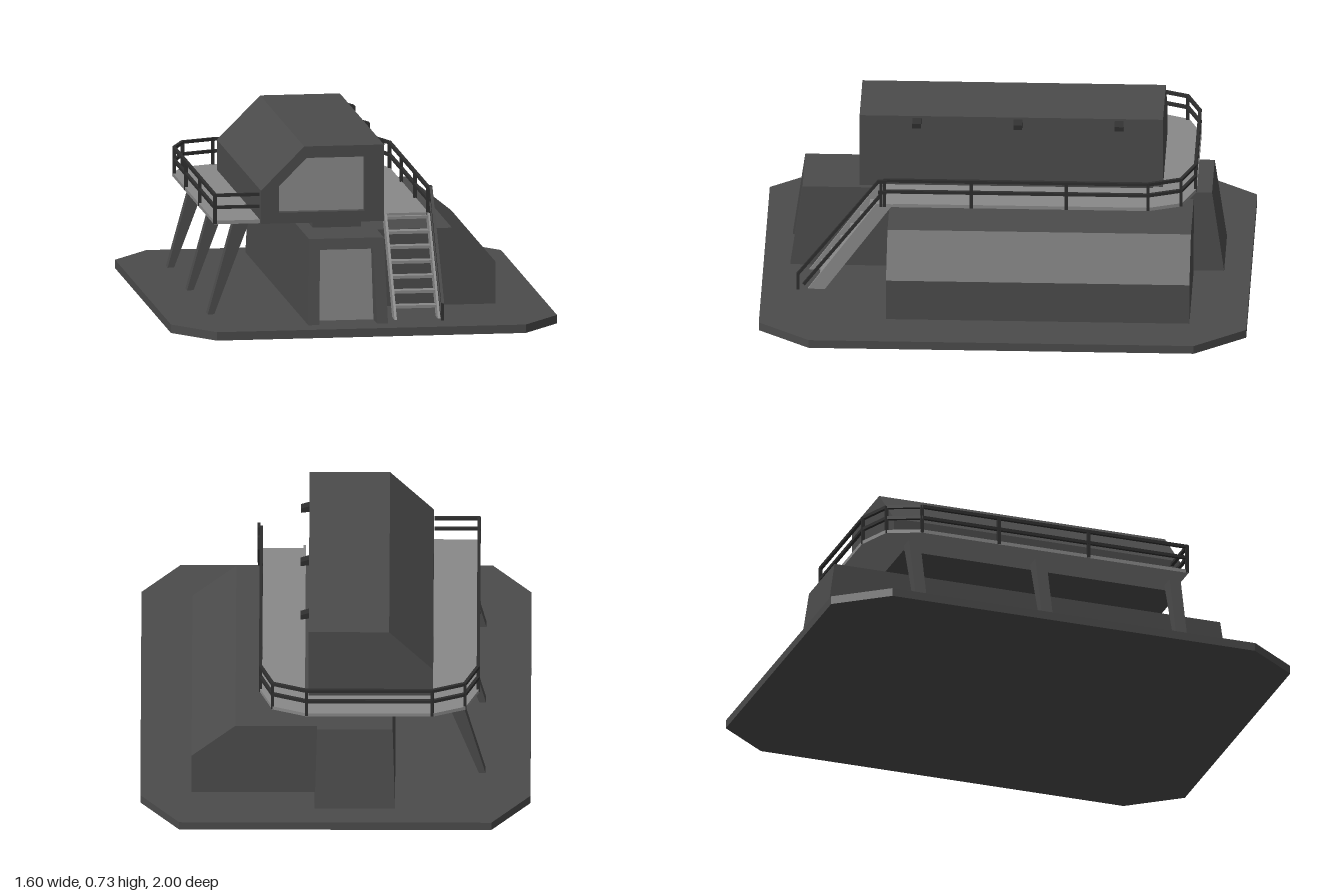
import * as THREE from 'three';

const mat = (name, color) => {
  const m = new THREE.MeshStandardMaterial({ color });
  m.name = name;
  return m;
};

export function createModel() {
  const wall = mat('wall grey', 0x4b4b4b);
  const light = mat('light grey', 0x898989);
  const dark = mat('dark metal', 0x2e2e2e);
  const root = new THREE.Group();
  root.name = 'outpost';

  const add = (name, geometry, material, parent = root) => {
    const mesh = new THREE.Mesh(geometry, material);
    mesh.name = name;
    parent.add(mesh);
    return mesh;
  };
  const group = (name) => {
    const g = new THREE.Group();
    g.name = name;
    root.add(g);
    return g;
  };
  const points = (list) => list.map(([x, y]) => new THREE.Vector2(x, y));
  // (x, y) profile extruded from z0 to z1, with an optional hole
  const alongZ = (list, z0, z1, hole) => {
    const shape = new THREE.Shape(points(list));
    if (hole) shape.holes.push(new THREE.Path(points(hole)));
    return new THREE.ExtrudeGeometry(shape, { depth: z1 - z0, bevelEnabled: false }).translate(0, 0, z0);
  };
  // (x, z) plan extruded from y0 up to y1
  const plan = (list, y0, y1) => alongZ(list, 0, y1 - y0).rotateX(Math.PI / 2).translate(0, y1, 0);
  // (z, y) profile extruded from x0 to x1
  const alongX = (list, x0, x1) => alongZ(list, 0, x1 - x0).rotateY(-Math.PI / 2).translate(x1, 0, 0);
  const box = (x0, x1, y0, y1, z0, z1) =>
    new THREE.BoxGeometry(x1 - x0, y1 - y0, z1 - z0).translate((x0 + x1) / 2, (y0 + y1) / 2, (z0 + z1) / 2);
  // square bar between two points
  const bar = (name, a, b, size, parent) => {
    const p = new THREE.Vector3(...a), q = new THREE.Vector3(...b);
    const mesh = add(name, new THREE.BoxGeometry(size, size, p.distanceTo(q) + size * 0.5), dark, parent);
    mesh.position.copy(p).lerp(q, 0.5);
    mesh.lookAt(q);
  };

  // Base slab with clipped corners
  const floor = 0.035;
  add('baseSlab', plan([[-0.8, -0.79], [-0.64, -1], [0.64, -1], [0.8, -0.79],
    [0.8, 0.79], [0.64, 1], [-0.64, 1], [-0.8, 0.79]], 0, floor), wall);

  // Lower block: ends lean inward, doorway set into the front
  const slope = (geometry) => {
    const pos = geometry.attributes.position;
    for (let i = 0; i < pos.count; i++) {
      const end = 0.89 - 0.05 * (pos.getY(i) - floor) / 0.35;
      if (Math.abs(pos.getZ(i)) > 0.85) pos.setZ(i, Math.sign(pos.getZ(i)) * end);
    }
    geometry.computeVertexNormals();
    return geometry;
  };
  const lower = group('lowerBlock');
  add('lowerBody', slope(alongZ([[-0.245, floor], [0.085, floor], [0.075, 0.385], [-0.235, 0.385]], -0.9, 0.78)), wall, lower);
  add('doorFrame', slope(alongZ([[-0.245, floor], [-0.2, floor], [-0.19, 0.34], [0.03, 0.34], [0.04, floor],
    [0.085, floor], [0.075, 0.385], [-0.235, 0.385]], 0.78, 0.9)), wall, lower);
  add('door', alongZ([[-0.2, floor], [0.04, floor], [0.03, 0.34], [-0.19, 0.34]], 0.78, 0.785), light, lower);
  add('neck', box(-0.18, 0.02, 0.38, 0.415, -0.6, 0.57), wall);

  // Side shed with a sloping roof edge
  add('sideShed', alongZ([[0.07, floor], [0.59, floor], [0.59, 0.21], [0.41, 0.355], [0.07, 0.355]], -0.765, 0.48), wall);

  // Upper cabin with a recessed front window
  const cabin = group('upperCabin');
  const section = [[-0.4, 0.412], [0.11, 0.412], [0.11, 0.73], [-0.22, 0.73], [-0.4, 0.55]];
  const pane = [[-0.325, 0.457], [0.03, 0.457], [0.03, 0.682], [-0.21, 0.682], [-0.325, 0.567]];
  add('cabinBody', alongZ(section, -0.64, 0.565), wall, cabin);
  add('windowFrame', alongZ(section, 0.565, 0.605, pane), wall, cabin);
  add('window', alongZ(pane, 0.565, 0.57), light, cabin);

  // Lamps along the cabin's tall wall
  for (const z of [-0.46, -0.045, 0.37])
    add('lamp', alongZ([[0.108, 0.695], [0.145, 0.69], [0.145, 0.71], [0.108, 0.722]], z - 0.018, z + 0.018), dark, cabin);

  // Walkway around three sides of the cabin
  const edge = [[-0.59, 0.575], [-0.59, -0.59], [-0.535, -0.725], [-0.4, -0.78],
    [0.12, -0.78], [0.26, -0.725], [0.31, -0.59], [0.31, 0.5]];
  add('walkway', plan([...edge, [0.125, 0.5], [0.125, -0.6], [-0.4, -0.6], [-0.4, 0.575]], 0.41, 0.425), light);

  // Railing: posts at corners and along the sides, with two rails
  const railing = group('railing');
  const railPath = [[-0.405, 0.57], ...edge.map(([x, z]) => [x * 0.992, z * 0.992])];
  railPath.forEach(([x, z], i) => {
    if (i > 0) bar('railPost', [x, 0.415, z], [x, 0.53, z], 0.013, railing);
    if (i + 1 === railPath.length) return;
    const [x2, z2] = railPath[i + 1];
    for (const y of [0.48, 0.53]) bar('rail', [x, y, z], [x2, y, z2], 0.013, railing);
  });
  for (const x of [-0.585, 0.307])
    for (const z of [0.14, -0.25]) bar('railPost', [x, 0.415, z], [x, 0.53, z], 0.013, railing);

  // Slanted, tapering struts under the outer walkway
  for (const z of [-0.59, -0.04, 0.545])
    add('strut', alongZ([[-0.615, floor], [-0.588, floor], [-0.445, 0.412], [-0.51, 0.412]], z - 0.024, z + 0.024), wall);

  // Stairs with open treads
  const stairs = group('stairs');
  for (const x of [0.124, 0.304])
    add('stringer', alongX([[0.81, floor], [0.53, 0.425], [0.46, 0.425], [0.74, floor]], x, x + 0.01), light, stairs);
  for (let i = 0; i < 7; i++) {
    const y = 0.085 + i * 0.055;
    const z = 0.775 - 0.28 * (y - floor) / 0.385;
    add('tread', box(0.13, 0.308, y - 0.012, y, z - 0.023, z + 0.023), light, stairs);
  }

  // Stair handrail on the outer side
  const x = 0.317;
  bar('handrail', [x, 0.53, 0.52], [x, 0.105, 0.85], 0.012, stairs);
  bar('handrail', [x, 0.47, 0.51], [x, 0.06, 0.825], 0.012, stairs);
  bar('handrailPost', [x, floor, 0.85], [x, 0.105, 0.85], 0.012, stairs);
  bar('handrailPost', [x, 0.42, 0.51], [x, 0.53, 0.51], 0.012, stairs);
  for (const y of [0.48, 0.53]) bar('handrailEnd', [x, y, 0.49], [x, y, 0.52], 0.012, stairs);
  return root;
}
